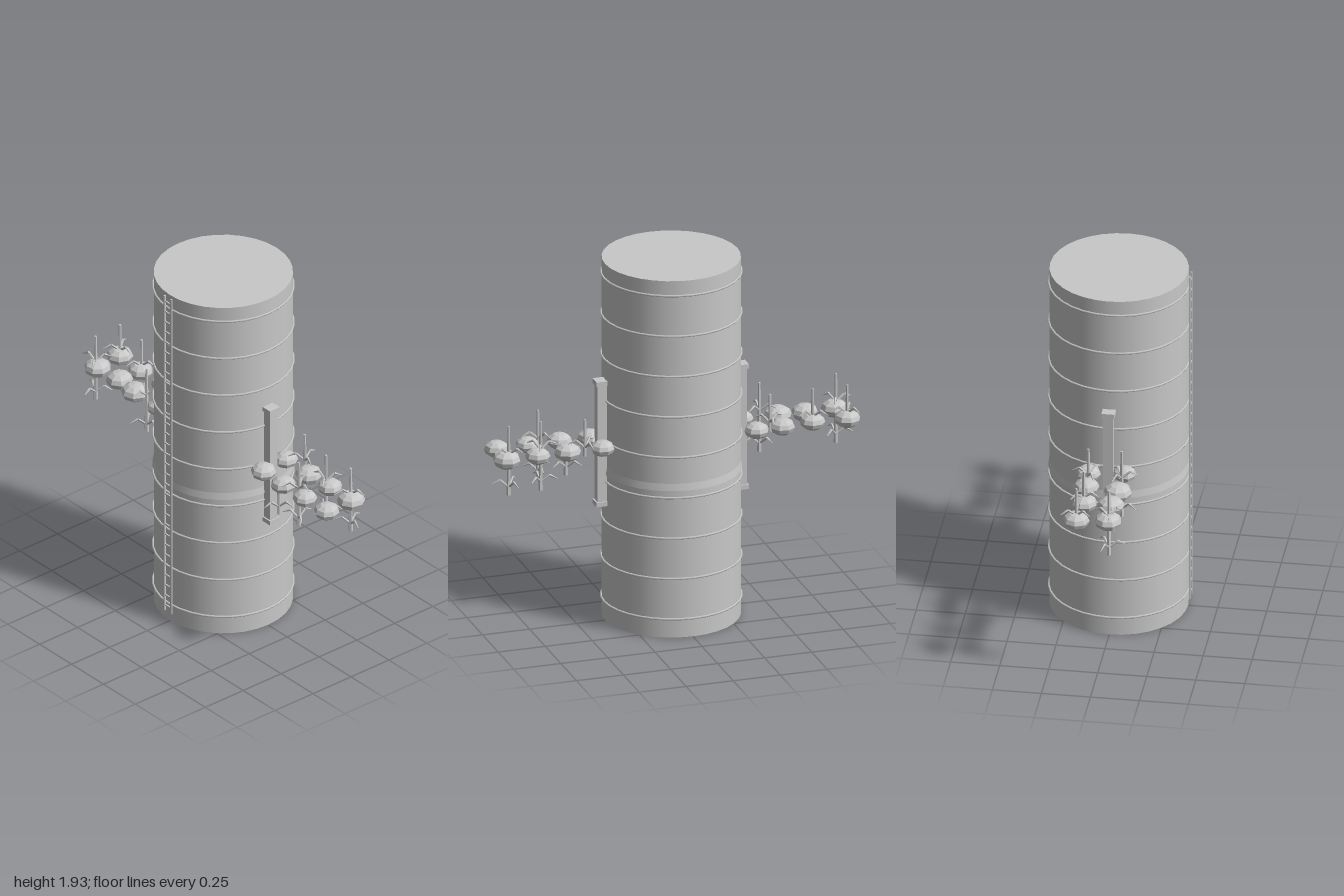
import * as THREE from 'three';

export function createModel() {
  const model = new THREE.Group();
  const grey = new THREE.MeshStandardMaterial({ color: 0xc8c8c8 });
  grey.name = 'plain grey';
  const greyOpen = new THREE.MeshStandardMaterial({ color: 0xc8c8c8, side: THREE.DoubleSide });
  greyOpen.name = 'plain grey open';

  const add = (parent, name, geometry, x = 0, y = 0, z = 0, material = grey) => {
    const mesh = new THREE.Mesh(geometry, material);
    mesh.name = name;
    mesh.position.set(x, y, z);
    parent.add(mesh);
    return mesh;
  };
  const group = (name, x = 0, y = 0, z = 0) => {
    const g = new THREE.Group();
    g.name = name;
    g.position.set(x, y, z);
    model.add(g);
    return g;
  };
  const faceted = (geometry) => {
    const flat = geometry.toNonIndexed();
    flat.computeVertexNormals();
    return flat;
  };
  // tapered stick between two points
  const stick = (parent, name, a, b, r0, r1) => {
    const from = new THREE.Vector3(...a), to = new THREE.Vector3(...b);
    const dir = to.clone().sub(from);
    const mesh = add(parent, name, faceted(new THREE.CylinderGeometry(r1, r0, dir.length(), 5)));
    mesh.position.copy(from).add(to).multiplyScalar(0.5);
    mesh.quaternion.setFromUnitVectors(new THREE.Vector3(0, 1, 0), dir.normalize());
  };

  // main tank with hoops and a sloped collar
  add(model, 'tank', new THREE.CylinderGeometry(0.352, 0.352, 1.93, 32), -0.002, 0.965, -0.002);
  for (let i = 0; i < 9; i++) {
    const hoop = add(model, 'hoop', new THREE.TorusGeometry(0.355, 0.006, 6, 32), -0.002, 0.1 + i * 0.2188, -0.002);
    hoop.rotation.x = Math.PI / 2;
  }
  add(model, 'collar', new THREE.CylinderGeometry(0.35, 0.358, 0.05, 32, 1, true), -0.002, 0.82, -0.002, greyOpen);

  // ladder on the front
  const ladder = group('ladder', -0.002, 0, 0.362);
  for (const s of [-1, 1]) add(ladder, 'ladderRail', new THREE.BoxGeometry(0.009, 1.865, 0.009), s * 0.026, 0.988, 0);
  for (let i = 0; i < 31; i++) {
    add(ladder, 'ladderRung', new THREE.BoxGeometry(0.05, 0.007, 0.007), 0, 0.088 + i * 0.06, 0);
  }

  // side posts with end caps
  for (const s of [-1, 1]) {
    const post = group('sidePost', s * 0.372, 0.967, 0);
    add(post, 'postShaft', new THREE.BoxGeometry(0.05, 0.64, 0.05));
    for (const e of [-1, 1]) add(post, 'postCap', new THREE.BoxGeometry(0.066, 0.024, 0.066), 0, e * 0.326, 0);
  }

  // flattened pods: x, z, radius
  const pods = [
    [-0.91, -0.085, 0.068], [-0.73, -0.07, 0.065], [-0.565, -0.085, 0.066], [-0.425, -0.095, 0.064],
    [-0.895, 0.075, 0.07], [-0.735, 0.065, 0.07], [-0.595, 0.08, 0.073], [-0.405, 0.085, 0.06],
    [0.39, -0.085, 0.062], [0.575, -0.08, 0.07], [0.735, -0.085, 0.064], [0.9, -0.085, 0.072],
    [0.405, 0.075, 0.066], [0.565, 0.08, 0.065], [0.735, 0.08, 0.062], [0.9, 0.075, 0.066],
  ];
  pods.forEach(([x, z, r], i) => {
    const pod = add(model, 'pod', faceted(new THREE.SphereGeometry(r, 8, 6)), x, 0.968, z);
    pod.scale.y = 0.66;
    pod.rotation.y = i * 1.3;
  });

  // bent arms radiating from a stem
  const arms = (parent, y, yaw, count) => {
    for (let i = 0; i < count; i++) {
      const a = yaw + i * Math.PI * 2 / count;
      const at = (r, h) => [Math.cos(a) * r, h, Math.sin(a) * r];
      stick(parent, 'armInner', at(0, y), at(0.045, y + 0.038), 0.006, 0.006);
      stick(parent, 'armOuter', at(0.045, y + 0.038), at(0.085, y + 0.018), 0.007, 0.002);
    }
  };

  // stems: x, z, has upper half, has lower half
  const stems = [
    [-0.91, -0.085, true, false], [-0.905, 0.08, true, true], [-0.73, -0.075, true, false],
    [-0.5, -0.085, true, false], [-0.5, 0.085, true, true],
    [0.495, -0.12, true, false], [0.53, 0.08, false, true], [0.68, 0.075, true, true],
    [0.715, -0.075, true, true], [0.89, -0.09, true, true],
  ];
  stems.forEach(([x, z, upper, lower], i) => {
    const stem = group('stem', x, 0, z);
    if (upper) {
      stick(stem, 'upperStem', [0, 0.95, 0], [0, 1.15, 0], 0.01, 0.007);
      arms(stem, 0.998, i * 0.9, 3);
    }
    if (lower) {
      stick(stem, 'lowerStem', [0, 0.778, 0], [0, 0.96, 0], 0.012, 0.009);
      arms(stem, 0.822, i * 0.9 + 0.5, 3);
    }
  });

  return model;
}
